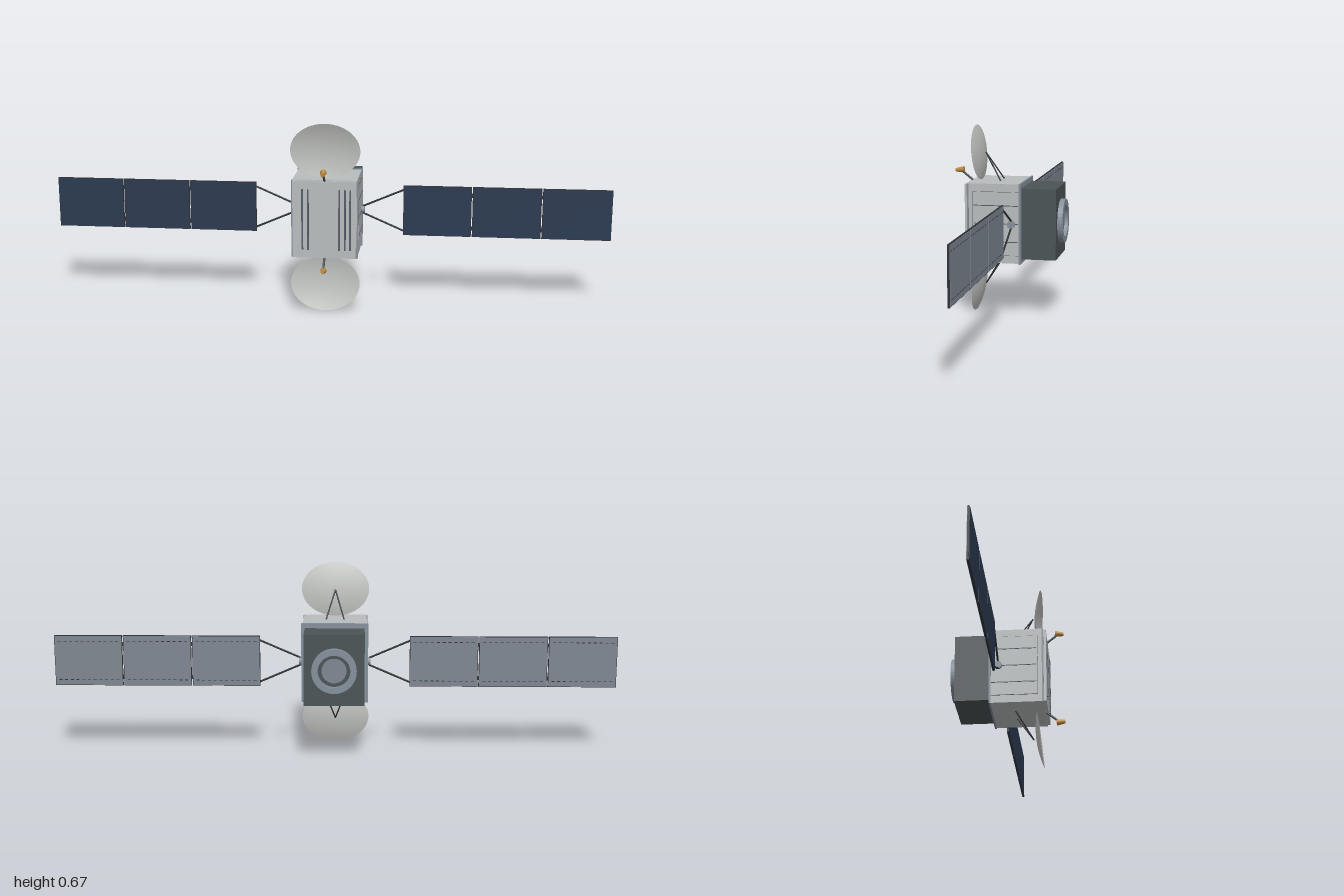
import * as THREE from 'three';
import { mergeGeometries } from 'three/addons/utils/BufferGeometryUtils.js';

const material = (name, color, side = THREE.FrontSide) => {
  const m = new THREE.MeshStandardMaterial({ color, side });
  m.name = name;
  return m;
};

export function createModel() {
  const lightGrey = material('light grey hull', 0xb9bdbd);
  const dishWhite = material('dish grey', 0xc3c5c2, THREE.DoubleSide);
  const charcoal = material('charcoal', 0x4b5356);
  const steel = material('steel blue', 0x85909c);
  const navy = material('navy solar cells', 0x2b3a50);
  const panelBack = material('panel back grey', 0x7f8791);
  const black = material('dark struts', 0x2f3236);
  const seam = material('seam grey', 0x555e6a);
  const gold = material('gold', 0xbd8c42);

  const model = new THREE.Group();
  model.name = 'satellite';
  const craft = new THREE.Group(); // origin at the hull's centre height
  craft.name = 'craft';
  craft.position.y = 0.337;
  model.add(craft);

  const add = (parent, name, geometry, mat, x = 0, y = 0, z = 0) => {
    const mesh = new THREE.Mesh(geometry, mat);
    mesh.name = name;
    mesh.position.set(x, y, z);
    parent.add(mesh);
    return mesh;
  };
  const box = (parent, name, mat, w, h, d, x, y, z) =>
    add(parent, name, new THREE.BoxGeometry(w, h, d), mat, x, y, z);
  const strut = (parent, name, mat, from, to, r) => {
    const a = new THREE.Vector3(...from), b = new THREE.Vector3(...to);
    const dir = b.clone().sub(a);
    const mesh = add(parent, name, new THREE.CylinderGeometry(r, r, dir.length(), 8), mat);
    mesh.position.copy(a).add(b).multiplyScalar(0.5);
    mesh.quaternion.setFromUnitVectors(new THREE.Vector3(0, 1, 0), dir.normalize());
  };

  // Hull, front cover and rear rim
  box(craft, 'hull', lightGrey, 0.226, 0.28, 0.188, 0, 0, 0.038);
  box(craft, 'frontCover', lightGrey, 0.22, 0.274, 0.009, 0, 0, 0.1365);
  box(craft, 'rearRim', steel, 0.236, 0.284, 0.007, 0, 0, -0.0565);
  for (const x of [-0.113, 0.113]) {
    for (const z of [0.129]) box(craft, 'cornerRail', steel, 0.008, 0.276, 0.006, x, 0, z);
  }

  // Raised bars on the front cover
  for (const x of [-0.077, -0.057, 0.052, 0.072, 0.09])
    box(craft, 'frontBar', seam, 0.006, 0.216, 0.005, x, 0, 0.1425);

  // Rear module with its engine ring
  box(craft, 'rearModule', charcoal, 0.21, 0.25, 0.122, 0, 0, -0.121);
  const ringProfile = [[0.056, 0], [0.078, 0], [0.078, 0.018], [0.056, 0.018], [0.056, 0]];
  const ringGeo = new THREE.LatheGeometry(
    ringProfile.map(([r, y]) => new THREE.Vector2(r, y)), 40).toNonIndexed();
  ringGeo.computeVertexNormals();
  ringGeo.rotateX(-Math.PI / 2);
  add(craft, 'engineRing', ringGeo, steel, 0, 0, -0.182);
  const disc = (name, r, depth, mat, z) =>
    add(craft, name, new THREE.CylinderGeometry(r, r, depth, 40).rotateX(Math.PI / 2), mat, 0, 0, z);
  disc('engineWell', 0.056, 0.004, charcoal, -0.184);
  disc('enginePlate', 0.043, 0.006, panelBack, -0.186);

  // One side wing: side cover, hub, yoke and three solar panels
  const buildWing = (name) => {
    const wing = new THREE.Group();
    wing.name = name;
    box(wing, 'sideCover', lightGrey, 0.004, 0.223, 0.163, 0.114, 0, 0.029);
    for (const y of [-0.1115, 0.1115])
      box(wing, 'coverEdge', seam, 0.003, 0.002, 0.165, 0.1142, y, 0.029);
    for (const z of [0.111, -0.052])
      box(wing, 'coverEdge', seam, 0.003, 0.223, 0.002, 0.1142, 0, z);
    for (const y of [-0.064, 0, 0.064])
      box(wing, 'coverSeam', seam, 0.002, 0.003, 0.158, 0.1163, y, 0.028);

    const z = -0.027;
    add(wing, 'hub', new THREE.CylinderGeometry(0.014, 0.014, 0.014, 20).rotateZ(Math.PI / 2),
      steel, 0.12, 0, z);
    for (const s of [-1, 1])
      strut(wing, 'yokeArm', black, [0.12, s * 0.012, z], [0.268, s * 0.076, z], 0.0035);

    for (let i = 0; i < 3; i++) {
      const x = 0.3865 + i * 0.2455;
      box(wing, 'panelFrame', black, 0.242, 0.182, 0.006, x, 0, z);
      box(wing, 'solarCells', navy, 0.238, 0.178, 0.002, x, 0, z + 0.0034);
      box(wing, 'panelBack', panelBack, 0.238, 0.178, 0.002, x, 0, z - 0.0034);
      // Dashed rows along the back
      const dashes = [];
      for (const y of [-0.07, 0.07])
        for (let k = 0; k < 11; k++)
          dashes.push(new THREE.BoxGeometry(0.011, 0.002, 0.001)
            .translate((k - 5) * 0.0205, y, 0));
      add(wing, 'backDashes', mergeGeometries(dashes), black, x, 0, z - 0.0046);
    }
    for (let i = 0; i < 2; i++)
      for (const y of [-0.06, 0.06])
        box(wing, 'panelHinge', black, 0.008, 0.014, 0.005, 0.50925 + i * 0.2455, y, z);
    return wing;
  };

  // One antenna: oval dish, rear struts, feed arm and horn
  const buildAntenna = (name) => {
    const antenna = new THREE.Group();
    antenna.name = name;
    const profile = [];
    for (let i = 0; i <= 10; i++) profile.push(new THREE.Vector2(i / 10, (i / 10) ** 2 - 1));
    const dishGeo = new THREE.LatheGeometry(profile, 48)
      .rotateX(Math.PI / 2).scale(0.122, 0.0975, 0.016);
    add(antenna, 'dish', dishGeo, dishWhite, 0, 0.238, 0.113).rotation.x = 0.105;
    for (const s of [-1, 1])
      strut(antenna, 'dishStrut', black, [s * 0.033, 0.138, 0.027], [0, 0.238, 0.089], 0.0025);
    strut(antenna, 'feedArm', charcoal, [0, 0.132, 0.13], [0, 0.17, 0.177], 0.004);
    const horn = new THREE.CylinderGeometry(0.0065, 0.011, 0.031, 20)
      .rotateX(Math.PI / 2);
    add(antenna, 'feedHorn', horn, gold, 0, 0.173, 0.184).rotation.x = 0.1;
    return antenna;
  };

  // Opposite parts are the same part turned half a turn about the z axis
  craft.add(buildWing('leftWing'), buildAntenna('upperAntenna'));
  const rightWing = buildWing('rightWing');
  const lowerAntenna = buildAntenna('lowerAntenna');
  rightWing.rotation.z = lowerAntenna.rotation.z = Math.PI;
  craft.add(rightWing, lowerAntenna);
  return model;
}
